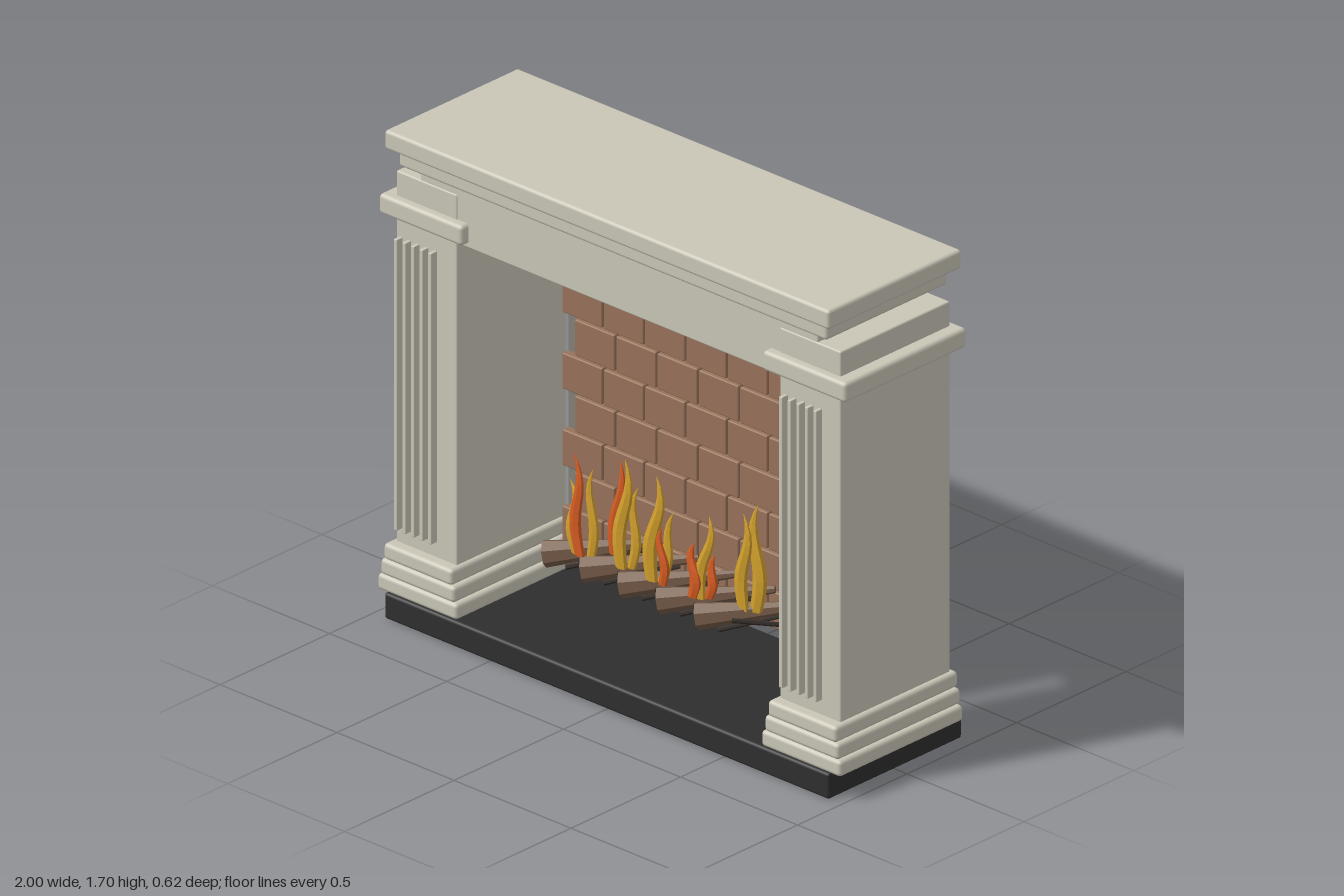
import * as THREE from 'three';
import { RoundedBoxGeometry } from 'three/addons/geometries/RoundedBoxGeometry.js';

const material = (name, color, extra = {}) => {
  const m = new THREE.MeshStandardMaterial({ color, ...extra });
  m.name = name;
  return m;
};

export function createModel() {
  const model = new THREE.Group();
  model.name = 'fireplace';

  const stone = material('stone', 0xc9c5b6);
  const slate = material('darkSlate', 0x2e2e2e);
  const panel = material('greyPanel', 0x828077);
  const brick = material('brick', 0x97725a);
  const wood = material('wood', 0x755a46, { flatShading: true });
  const twigMat = material('charredWood', 0x332b26, { flatShading: true });
  const yellow = material('yellowFlame', 0xd2a02c, { flatShading: true });
  const orange = material('orangeFlame', 0xd65c22, { flatShading: true });

  // Box given by its limits on each axis, with softened edges
  function block(name, mat, [x0, x1], [y0, y1], [z0, z1], r = 0.01, parent = model) {
    const geo = new RoundedBoxGeometry(x1 - x0, y1 - y0, z1 - z0, 2, r);
    const mesh = new THREE.Mesh(geo, mat);
    mesh.name = name;
    mesh.position.set((x0 + x1) / 2, (y0 + y1) / 2, (z0 + z1) / 2);
    parent.add(mesh);
    return mesh;
  }

  // Hearth and mantel
  block('hearth', slate, [-0.95, 0.95], [0, 0.09], [-0.305, 0.305]);
  block('lintel', stone, [-0.85, 0.85], [1.365, 1.575], [-0.243, 0.247], 0.006);
  block('mantelMoulding', stone, [-0.915, 0.915], [1.57, 1.63], [-0.277, 0.277], 0.012);
  block('mantelShelf', stone, [-0.95, 0.95], [1.628, 1.695], [-0.305, 0.305], 0.012);

  // Mirrored pillars
  for (const side of [-1, 1]) {
    const pillar = new THREE.Group();
    pillar.name = side > 0 ? 'leftPillar' : 'rightPillar';
    const span = (a, b) => (side > 0 ? [a, b] : [-b, -a]);
    block('shaft', stone, span(0.69, 0.95), [0.1, 1.535], [-0.25, 0.25], 0.006, pillar);
    block('capital', stone, span(0.642, 0.998), [1.38, 1.45], [-0.277, 0.28], 0.014, pillar);
    for (let i = 0; i < 3; i++) {
      block('plinthStep', stone, span(0.65 + i * 0.012, 0.99 - i * 0.011),
        [0.085 + i * 0.055, 0.141 + i * 0.055], [-0.27, 0.295 - i * 0.002], 0.014, pillar);
    }
    for (let i = 0; i < 5; i++) {
      const x = 0.75 + i * 0.0365;
      block('flute', stone, span(x - 0.007, x + 0.007), [0.325, 1.335], [0.283, 0.311], 0.003, pillar);
    }
    model.add(pillar);
  }

  // Back panel with staggered brick courses
  block('backPanel', panel, [-0.617, 0.617], [0.215, 1.138], [-0.215, -0.178], 0.005);
  const wall = new THREE.Group();
  wall.name = 'brickWall';
  for (let row = 0; row < 7; row++) {
    for (let col = 0; col < 6; col++) {
      const x = -0.617 + (row % 2) * 0.053 + col * 0.1765;
      const y = 0.215 + row * 0.1327;
      block('brick', brick, [x, x + 0.17], [y, y + 0.125], [-0.185, -0.152], 0.005, wall);
    }
  }
  model.add(wall);

  // Tapered rod between two points
  function rod(name, mat, from, to, r0, r1, parent) {
    const a = new THREE.Vector3(...from);
    const dir = new THREE.Vector3(...to).sub(a);
    const mesh = new THREE.Mesh(new THREE.CylinderGeometry(r1, r0, dir.length(), 7), mat);
    mesh.name = name;
    mesh.position.copy(a).addScaledVector(dir, 0.5);
    mesh.quaternion.setFromUnitVectors(new THREE.Vector3(0, 1, 0), dir.normalize());
    parent.add(mesh);
  }

  // Logs lying diagonally, with charred twigs between them
  const logs = new THREE.Group();
  logs.name = 'logPile';
  for (let i = 0; i < 5; i++) {
    const x = -0.465 + i * 0.163;
    rod('log', wood, [x, 0.31, 0.09], [x + 0.31, 0.38, -0.11], 0.045, 0.012, logs);
    rod('twig', twigMat, [x + 0.08, 0.285, 0.08], [x + 0.24, 0.33, -0.1], 0.009, 0.005, logs);
    rod('twig', twigMat, [x + 0.13, 0.33, 0.07], [x + 0.29, 0.305, -0.09], 0.008, 0.008, logs);
  }
  model.add(logs);

  // Wavy flame tongues: a cylinder narrowed to a tip and swayed along its height
  const fire = new THREE.Group();
  fire.name = 'fire';
  function tongue(mat, x, y0, z, height, width, lean, sway) {
    const geo = new THREE.CylinderGeometry(1, 1, 1, 6, 10);
    const p = geo.attributes.position;
    for (let i = 0; i < p.count; i++) {
      const t = p.getY(i) + 0.5;
      const r = width * Math.max(0.004, (0.55 + 1.1 * t) * (1 - t) ** 0.9);
      const bend = lean * t + sway * Math.sin(t * Math.PI * 2) * (0.4 + 0.6 * t);
      p.setXYZ(i, p.getX(i) * r + bend, t * height, p.getZ(i) * r * 0.6);
    }
    geo.computeVertexNormals();
    const mesh = new THREE.Mesh(geo, mat);
    mesh.name = 'flame';
    mesh.position.set(x, y0, z);
    fire.add(mesh);
  }
  const tongues = [
    [yellow, -0.335, 0.35, 0.08, 0.25, 0.038, -0.03, -0.022],
    [orange, -0.305, 0.36, 0.10, 0.35, 0.034, -0.025, -0.022],
    [yellow, -0.285, 0.35, 0.07, 0.31, 0.03, 0.01, 0.018],
    [orange, -0.205, 0.38, 0.05, 0.34, 0.032, 0.025, -0.018],
    [yellow, -0.165, 0.35, 0.06, 0.385, 0.04, 0.015, -0.024],
    [yellow, -0.14, 0.35, 0.04, 0.29, 0.03, 0.03, 0.02],
    [yellow, -0.035, 0.35, 0.06, 0.37, 0.042, 0.02, -0.026],
    [yellow, 0.0, 0.35, 0.05, 0.26, 0.03, 0.05, 0.014],
    [orange, 0.02, 0.355, 0.07, 0.2, 0.028, 0.0, 0.018],
    [orange, 0.14, 0.35, 0.06, 0.19, 0.036, 0.01, 0.02],
    [yellow, 0.165, 0.35, 0.05, 0.3, 0.034, 0.035, -0.022],
    [orange, 0.19, 0.355, 0.04, 0.16, 0.03, 0.03, 0.014],
    [yellow, 0.32, 0.35, 0.02, 0.335, 0.038, 0.0, -0.022],
    [yellow, 0.355, 0.35, 0.0, 0.375, 0.042, 0.01, 0.024],
  ];
  tongues.forEach((t) => tongue(...t));
  model.add(fire);

  return model;
}
